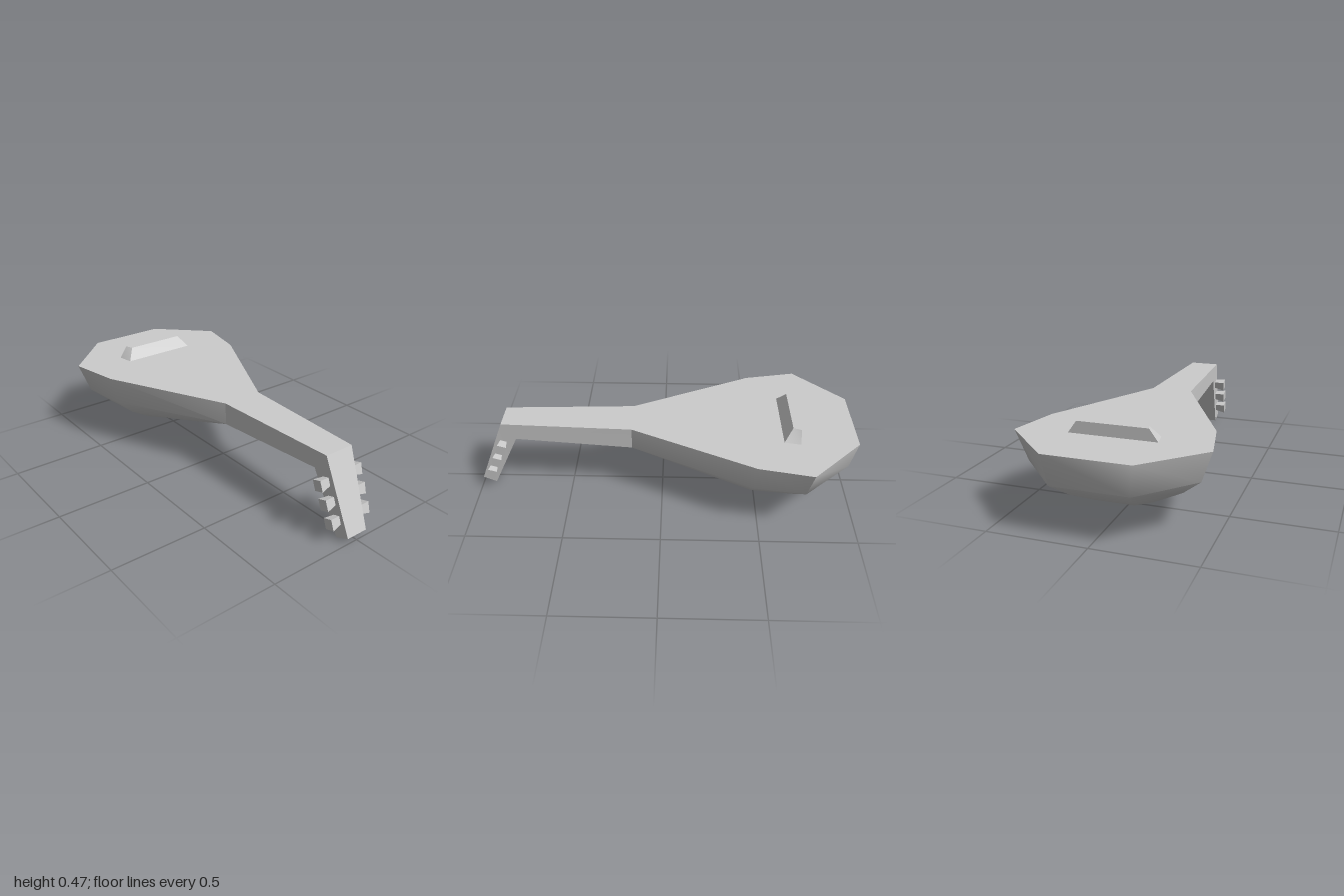
import * as THREE from 'three';
import { toCreasedNormals } from 'three/addons/utils/BufferGeometryUtils.js';

const material = new THREE.MeshStandardMaterial({ color: 0xcccccc });

// Completes a half cross-section (x > 0) with its mirror image.
const mirror = (half) => [...half, ...half.map(([x, y, z]) => [-x, y, z]).reverse()];

// Joins equal-length rings of points into one skin with flat caps.
function loft(name, halves, crease, capStart = true) {
  const rings = halves.map(mirror);
  const n = rings[0].length;
  const index = [];
  for (let r = 0; r < rings.length - 1; r++) {
    for (let j = 0; j < n; j++) {
      const a = r * n + j, b = r * n + (j + 1) % n;
      index.push(a, a + n, b + n, a, b + n, b);
    }
  }
  const last = (rings.length - 1) * n;
  for (let j = 1; j < n - 1; j++) {
    if (capStart) index.push(0, j, j + 1);
    index.push(last, last + j + 1, last + j);
  }
  const geometry = new THREE.BufferGeometry();
  geometry.setAttribute('position', new THREE.Float32BufferAttribute(rings.flat(2), 3));
  geometry.setIndex(index);
  const mesh = new THREE.Mesh(toCreasedNormals(geometry, crease), material);
  mesh.name = name;
  return mesh;
}

export function createModel() {
  const model = new THREE.Group();
  model.name = 'lute';

  // Rounded bowl: outlines stacked from the soundboard down to the belly
  model.add(loft('bowl', [
    [[0.11, 0.405, 0.16], [0.42, 0.405, -0.47], [0.475, 0.405, -0.74], [0.21, 0.405, -1]],
    [[0.105, 0.285, 0.16], [0.385, 0.255, -0.46], [0.42, 0.25, -0.72], [0.19, 0.25, -0.97]],
    [[0.1, 0.175, -0.15], [0.3, 0.17, -0.46], [0.325, 0.17, -0.68], [0.15, 0.165, -0.85]],
    [[0.08, 0.085, -0.4], [0.17, 0.085, -0.5], [0.17, 0.085, -0.64], [0.1, 0.085, -0.7]],
  ], 0.85));

  // Neck, bending down into the headstock
  model.add(loft('neckAndHeadstock', [
    [[0.11, 0.405, 0.16], [0.105, 0.285, 0.16]],
    [[0.08, 0.405, 0.85], [0.077, 0.31, 0.78]],
    [[0.06, 0.03, 1], [0.06, 0, 0.93]],
  ], 0.4, false));

  // Bridge on the soundboard
  model.add(loft('bridge', [
    [[0.16, 0.465, -0.665], [0.175, 0.465, -0.705]],
    [[0.205, 0.403, -0.62], [0.22, 0.403, -0.705]],
  ], 0.3));

  // Three flared tuning pegs on each side of the headstock
  const pegs = new THREE.Group();
  pegs.name = 'tuningPegs';
  const pegMaterial = material.clone();
  pegMaterial.flatShading = true;
  for (const side of [1, -1]) {
    for (let i = 0; i < 3; i++) {
      const geometry = new THREE.CylinderGeometry(0.04, 0.027, 0.066, 4);
      geometry.rotateY(Math.PI / 4).scale(1, 1, 0.85);
      geometry.rotateZ(-side * (Math.PI / 2 + 0.06)).rotateX(-0.3);
      const peg = new THREE.Mesh(geometry, pegMaterial);
      peg.name = side > 0 ? 'leftPeg' : 'rightPeg';
      peg.position.set(side * (0.098 - i * 0.005), 0.272 - i * 0.086, 0.857 + i * 0.037);
      pegs.add(peg);
    }
  }
  model.add(pegs);
  return model;
}
